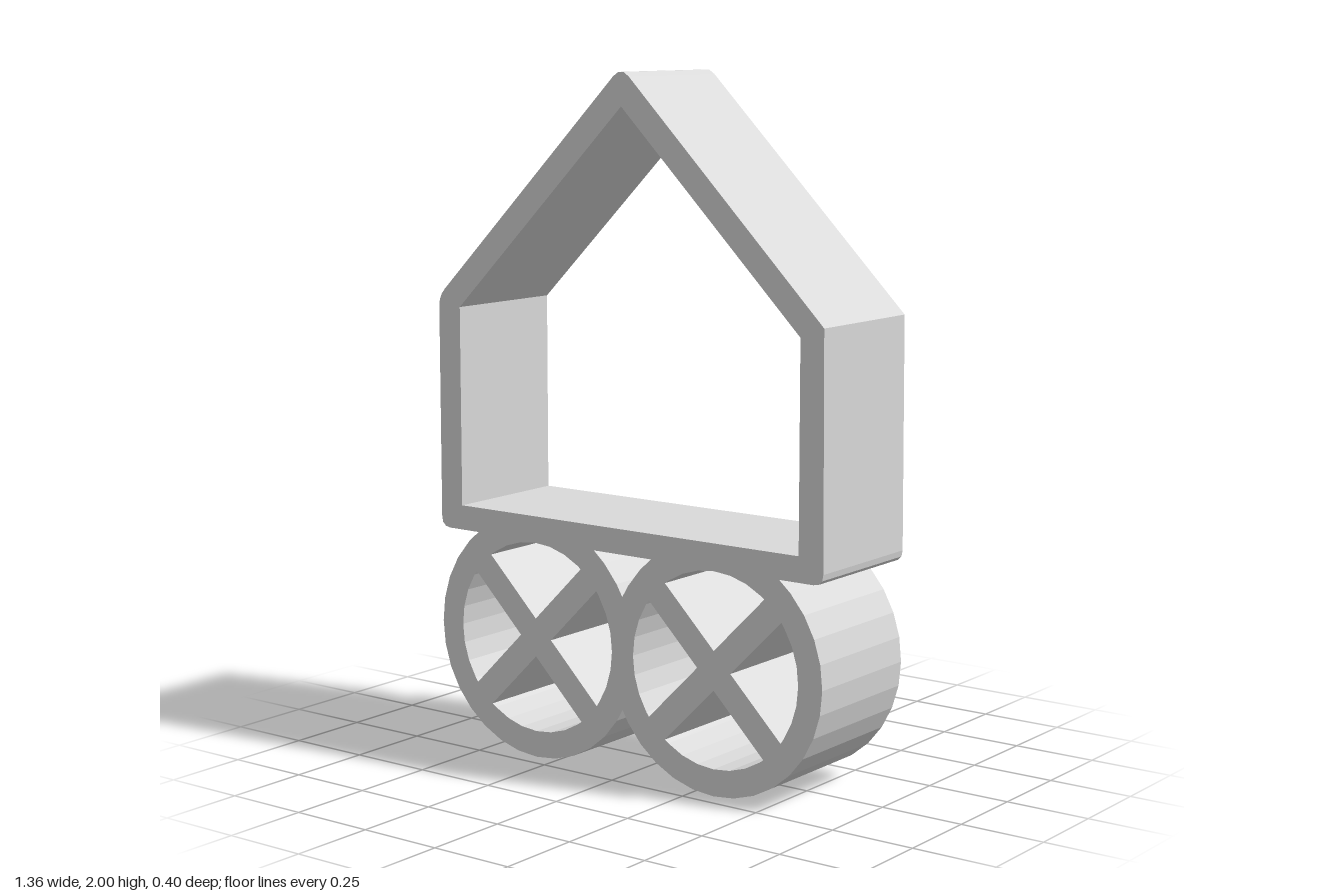
import * as THREE from 'three';

const DEPTH = 0.4;
const grey = new THREE.MeshStandardMaterial({ color: 0xd9d9d9 });
grey.name = 'plain grey';

// Extrude a flat outline, centred on z = 0
function slab(name, shape) {
  const geometry = new THREE.ExtrudeGeometry(shape, { depth: DEPTH, bevelEnabled: false, curveSegments: 3 });
  geometry.translate(0, 0, -DEPTH / 2);
  const mesh = new THREE.Mesh(geometry, grey);
  mesh.name = name;
  return mesh;
}

// Outline whose corners [x, y, cut] are rounded over the cut length; 0 stays sharp
function roundedOutline(corners) {
  const shape = new THREE.Shape();
  corners.forEach(([x, y, cut], i) => {
    const p = new THREE.Vector2(x, y);
    const toward = (c) => new THREE.Vector2(c[0], c[1]).sub(p).setLength(cut).add(p);
    const a = toward(corners[(i + corners.length - 1) % corners.length]);
    const b = toward(corners[(i + 1) % corners.length]);
    if (i === 0) shape.moveTo(a.x, a.y);
    else shape.lineTo(a.x, a.y);
    if (cut > 0) shape.quadraticCurveTo(x, y, b.x, b.y);
  });
  shape.closePath();
  return shape;
}

// Open house-shaped frame
function houseFrame() {
  const shape = roundedOutline([
    [-0.68, 0.647, 0.032], [0.68, 0.647, 0.032], [0.675, 1.34, 0],
    [0, 2.014, 0.038], [-0.68, 1.338, 0.03],
  ]);
  shape.holes.push(new THREE.Path([
    [-0.6, 0.72], [0.6, 0.72], [0.6, 1.31], [0, 1.905], [-0.6, 1.31],
  ].map(([x, y]) => new THREE.Vector2(x, y))));
  return slab('houseFrame', shape);
}

// Spoked wheel, trimmed where it joins the frame and the other wheel
function wheel(name, side) {
  const cx = 0.32, cy = 0.36, outer = 0.36, inner = 0.282, spokeHalf = 0.04;
  const at = (r, a) => new THREE.Vector2(side * cx + r * Math.cos(a), cy + r * Math.sin(a));
  const top = Math.asin((0.647 - cy) / outer);
  const meet = Math.acos(cx / outer);
  const step = Math.PI / 16;

  // Arc points on a 32-sided circle, with exact ends
  const arc = (r, from, to) => {
    const points = [at(r, from)];
    for (let k = Math.floor(from / step + 0.05) + 1; k * step < to - 0.01; k++) points.push(at(r, k * step));
    points.push(at(r, to));
    return points;
  };

  // Anticlockwise rim, with the flat joint on the inner side
  const shape = new THREE.Shape(side > 0
    ? [...arc(outer, Math.PI - top, Math.PI - meet), ...arc(outer, Math.PI + meet, 2 * Math.PI + top)]
    : [...arc(outer, Math.PI - top, 2 * Math.PI - meet), ...arc(outer, meet, top)]);

  // Four openings between the crossed spokes
  const span = Math.PI / 4 - Math.asin(spokeHalf / inner);
  for (let q = 0; q < 4; q++) {
    const mid = q * Math.PI / 2;
    shape.holes.push(new THREE.Path([
      at(spokeHalf * Math.SQRT2, mid), ...arc(inner, mid - span, mid + span),
    ]));
  }
  return slab(name, shape);
}

export function createModel() {
  const model = new THREE.Group();
  model.name = 'houseOnWheels';
  model.add(houseFrame(), wheel('leftWheel', 1), wheel('rightWheel', -1));
  return model;
}
